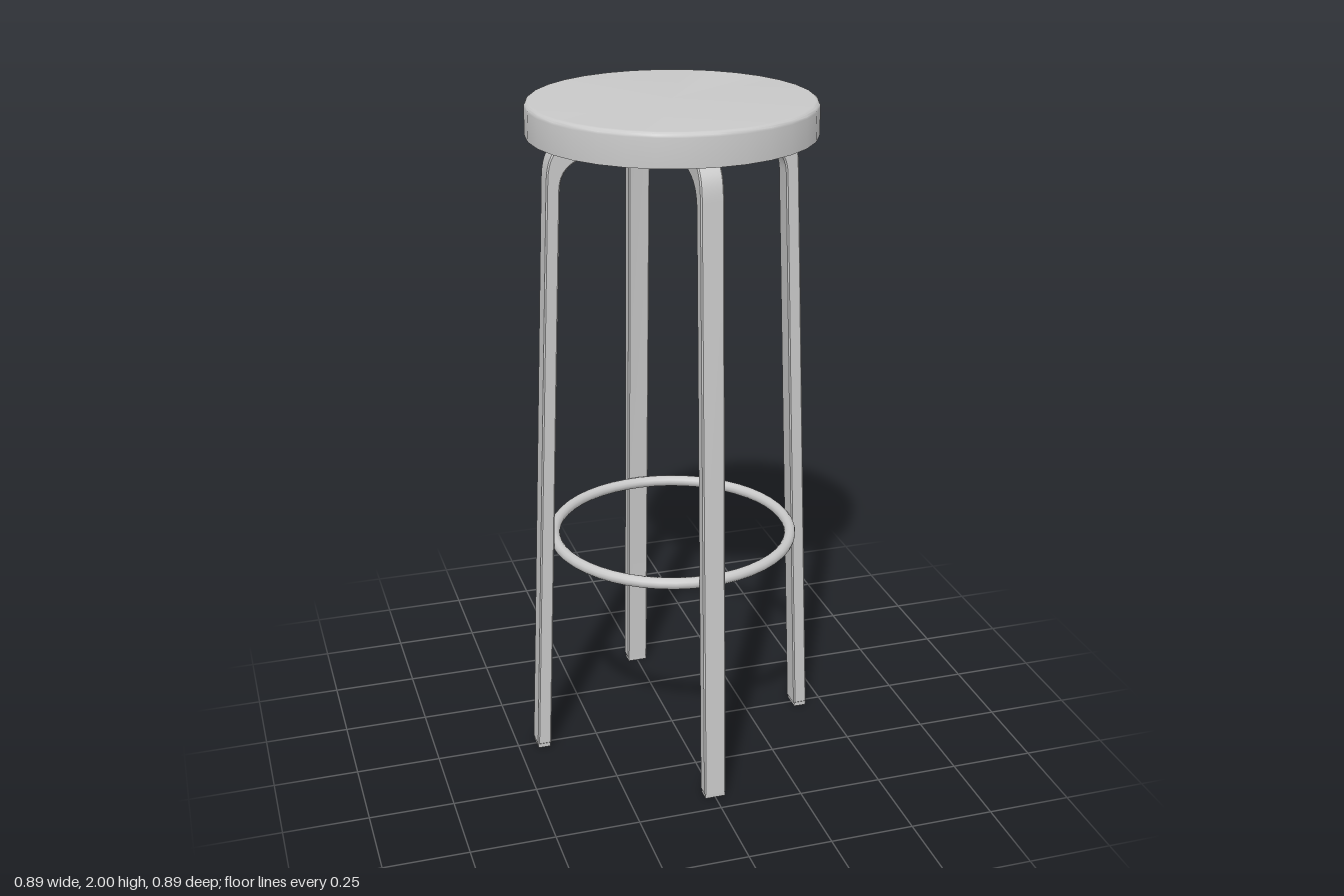
import * as THREE from 'three';
import { toCreasedNormals } from 'three/addons/utils/BufferGeometryUtils.js';

const grey = new THREE.MeshStandardMaterial({ color: 0xc8c8c8 });
grey.name = 'grey';

function part(name, geometry) {
  const mesh = new THREE.Mesh(geometry, grey);
  mesh.name = name;
  return mesh;
}

// Round seat: flat underside with a sharp rim, softly rounded top edge
function seatGeometry() {
  const radius = 0.41, top = 2, round = 0.014;
  const profile = [new THREE.Vector2(0, 1.905), new THREE.Vector2(radius, 1.905)];
  for (let i = 0; i <= 4; i++) {
    const a = (i / 4) * Math.PI / 2;
    profile.push(new THREE.Vector2(
      radius - round + round * Math.cos(a), top - round + round * Math.sin(a)));
  }
  profile.push(new THREE.Vector2(radius - round - 0.004, top), new THREE.Vector2(0, top));
  return toCreasedNormals(new THREE.LatheGeometry(profile, 32), 0.6);
}

// Bent leg: side outline swept across its width, tapering to a wedge under the seat
function legGeometry() {
  const width = 0.066, bevel = 0.004;
  const s = new THREE.Shape();
  s.moveTo(0.402, 0.012);
  s.lineTo(0.444, 0.012);
  s.lineTo(0.369, 1.8);
  s.bezierCurveTo(0.366, 1.86, 0.35, 1.895, 0.295, 1.908);
  s.lineTo(0.09, 1.908);
  s.lineTo(0.255, 1.86);
  s.bezierCurveTo(0.3, 1.847, 0.328, 1.825, 0.331, 1.775);
  s.closePath();
  const geometry = new THREE.ExtrudeGeometry(s, {
    depth: width - 2 * bevel, curveSegments: 8, bevelEnabled: true,
    bevelThickness: bevel, bevelSize: bevel, bevelOffset: -bevel, bevelSegments: 1,
  });
  geometry.translate(0, 0, -width / 2 + bevel);
  return toCreasedNormals(geometry, 0.5);
}

export function createModel() {
  const stool = new THREE.Group();
  stool.name = 'stool';
  stool.add(part('seat', seatGeometry()));

  // Four legs, each with a foot pad
  const leg = legGeometry();
  const foot = new THREE.BoxGeometry(0.038, 0.016, 0.06);
  for (let i = 0; i < 4; i++) {
    const group = new THREE.Group();
    group.name = 'legAssembly' + (i + 1);
    const pad = part('footPad', foot);
    pad.position.set(0.4235, 0.008, 0);
    group.add(part('leg', leg), pad);
    group.rotation.y = i * Math.PI / 2;
    stool.add(group);
  }

  // Footrest ring held between the legs
  const ring = part('footRing', new THREE.TorusGeometry(0.358, 0.017, 12, 48));
  ring.rotation.x = Math.PI / 2;
  ring.position.y = 0.68;
  stool.add(ring);
  return stool;
}
